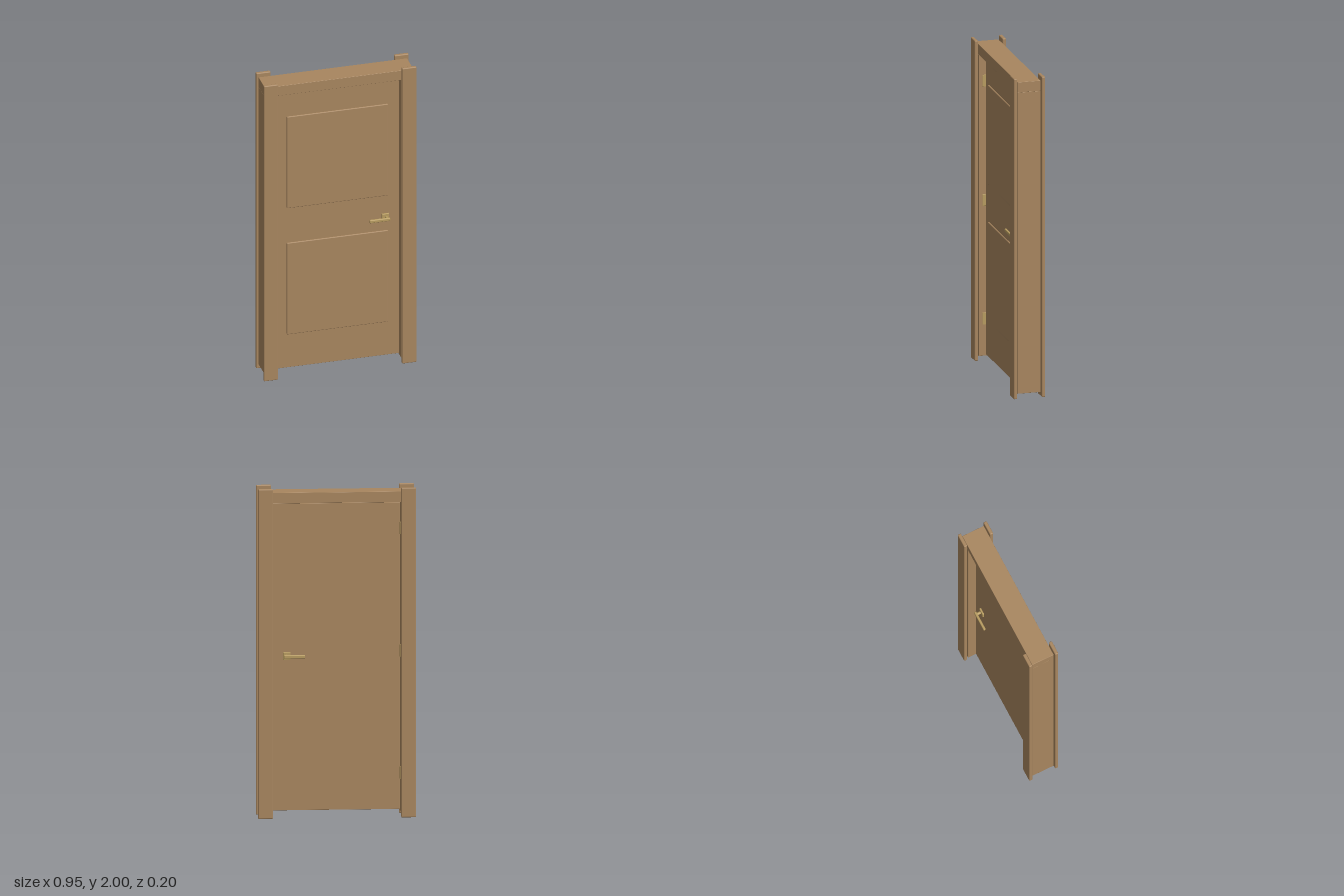
import * as THREE from 'three';
import { RoundedBoxGeometry } from 'three/addons/geometries/RoundedBoxGeometry.js';

export function createModel() {
  const model = new THREE.Group();
  model.name = 'door';
  const wood = new THREE.MeshStandardMaterial({ color: 0xa8865f });
  wood.name = 'wood';
  const brass = new THREE.MeshStandardMaterial({ color: 0xb89c60 });
  brass.name = 'brass';

  // Softly rounded block given by its minimum and maximum corners
  function block(name, min, max, radius, material, parent = model) {
    const size = max.map((v, i) => v - min[i]);
    const mesh = new THREE.Mesh(new RoundedBoxGeometry(...size, 2, radius), material);
    mesh.position.set(...max.map((v, i) => (v + min[i]) / 2));
    mesh.name = name;
    parent.add(mesh);
    return mesh;
  }

  // Frame: two jambs under a head, with upright casings front and back
  block('frameHead', [-0.462, 1.91, -0.072], [0.462, 1.975, 0.072], 0.002, wood);
  for (const side of [-1, 1]) {
    const label = side > 0 ? 'left' : 'right';
    const x0 = side > 0 ? 0.385 : -0.462;
    block(label + 'Jamb', [x0, 0.03, -0.072], [x0 + 0.077, 1.911, 0.072], 0.002, wood);
    const c0 = side > 0 ? 0.385 : -0.475;
    block(label + 'FrontCasing', [c0, 0, 0.076], [c0 + 0.09, 2, 0.098], 0.006, wood);
    block(label + 'BackCasing', [c0, 0, -0.098], [c0 + 0.09, 2, -0.076], 0.006, wood);
  }

  // Leaf with two raised panels on the front
  block('doorLeaf', [-0.383, 0.04, -0.02], [0.383, 1.902, 0.03], 0.002, wood);
  block('upperPanel', [-0.315, 1.12, 0.02], [0.315, 1.74, 0.037], 0.005, wood);
  block('lowerPanel', [-0.315, 0.265, 0.02], [0.315, 0.885, 0.037], 0.005, wood);

  // Hinges
  for (const y of [0.262, 1.003, 1.747]) {
    block('hinge', [-0.388, y - 0.037, -0.045], [-0.381, y + 0.037, 0.05], 0.002, brass);
  }

  // Lever handles on both faces
  for (const [name, face, dir] of [['frontHandle', 0.03, 1], ['backHandle', -0.02, -1]]) {
    const handle = new THREE.Group();
    handle.name = name;
    const piece = (part, x0, x1, y0, y1, d0, d1, r) => {
      const z = [face + dir * d0, face + dir * d1].sort((a, b) => a - b);
      block(part, [x0, y0, z[0]], [x1, y1, z[1]], r, brass, handle);
    };
    piece('rose', 0.275, 0.32, 0.953, 1.0, -0.002, 0.011, 0.003);
    piece('lever', 0.19, 0.318, 0.967, 0.987, 0.032, 0.047, 0.005);
    const neck = new THREE.Mesh(new THREE.CylinderGeometry(0.009, 0.009, 0.034, 20), brass);
    neck.name = 'neck';
    neck.rotation.x = Math.PI / 2;
    neck.position.set(0.302, 0.977, face + dir * 0.022);
    handle.add(neck);
    model.add(handle);
  }
  return model;
}
